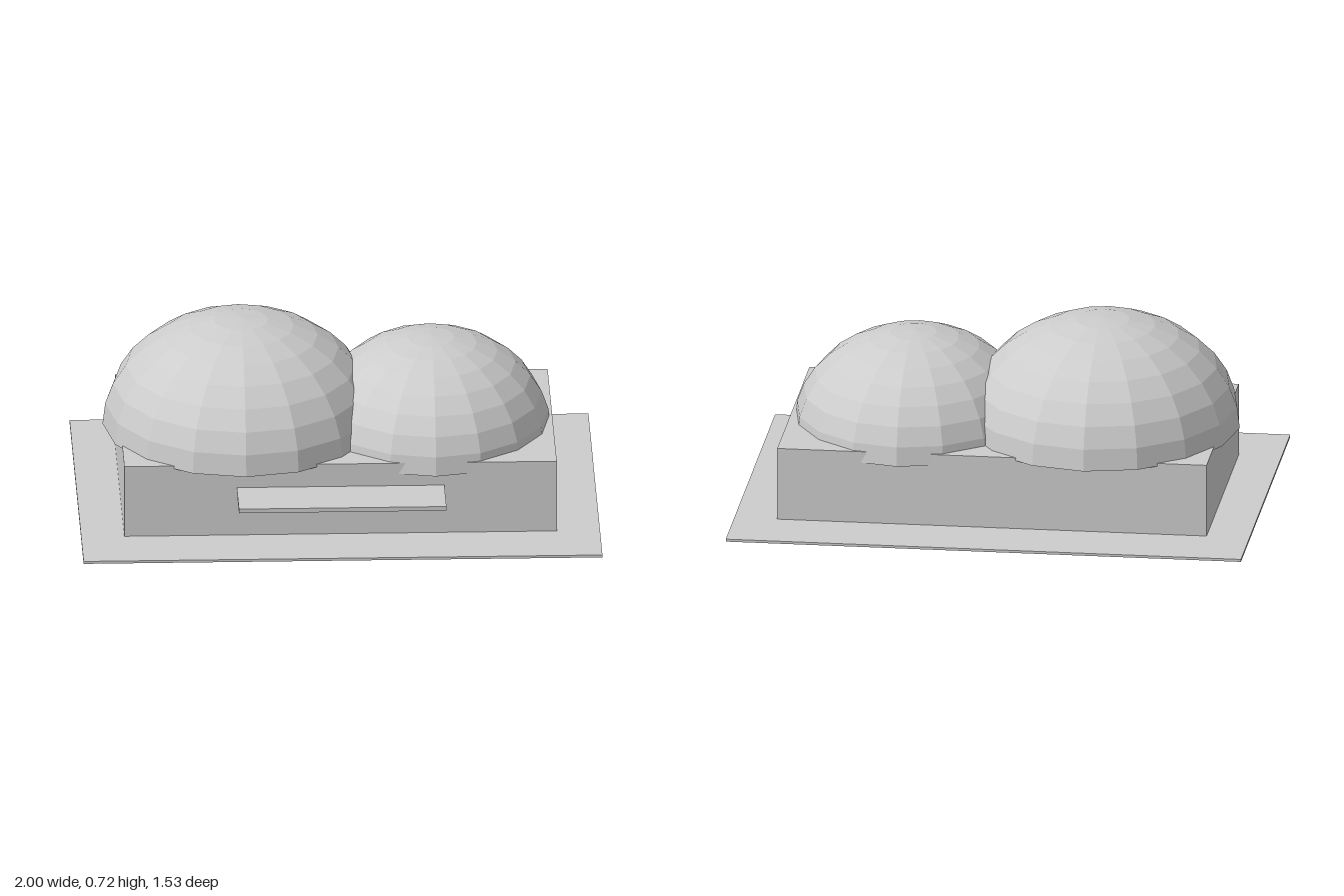
import * as THREE from 'three';

export function createModel() {
  const model = new THREE.Group();
  model.name = 'twinDomeBuilding';
  const grey = new THREE.MeshStandardMaterial({ color: 0xcccccc, flatShading: true, side: THREE.DoubleSide });
  grey.name = 'light grey';

  const add = (name, geometry, x, y, z) => {
    const mesh = new THREE.Mesh(geometry, grey);
    mesh.name = name;
    mesh.position.set(x, y, z);
    model.add(mesh);
  };
  const box = (name, w, h, d, y, z = 0) =>
    add(name, new THREE.BoxGeometry(w, h, d), 0, y + h / 2, z);

  // Open faceted half ellipsoid, rim at height y
  const dome = (name, rx, ry, rz, x, y) => {
    const geometry = new THREE.SphereGeometry(1, 16, 8, 0, Math.PI * 2, 0, Math.PI / 2);
    add(name, geometry.scale(rx, ry, rz), x, y, 0);
  };

  // Ground slab, main block and entrance canopy
  box('groundSlab', 2, 0.01, 1.533, 0);
  box('mainBlock', 1.667, 0.287, 1, 0.01);
  box('entranceCanopy', 0.8, 0.017, 0.233, 0.188, 0.617);

  // Roof domes, overhanging the block
  dome('largeDome', 0.533, 0.43, 0.6, -0.367, 0.286);
  dome('smallDome', 0.46, 0.38, 0.533, 0.367, 0.253);

  return model;
}
